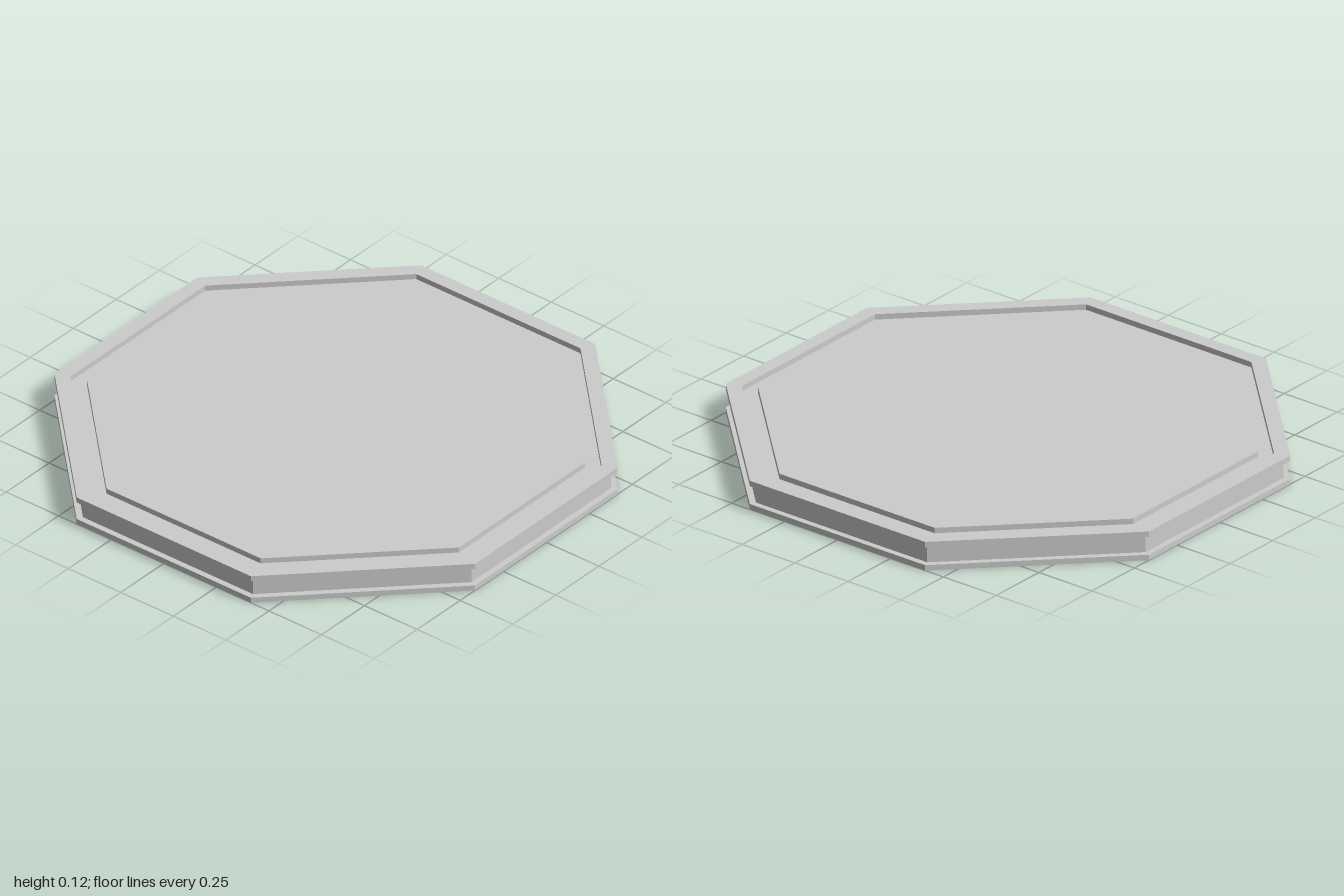
import * as THREE from 'three';

const SIDES = 8;
const CORNER = 1 / Math.cos(Math.PI / SIDES); // flat-to-centre distance -> corner radius
const HEIGHT = 0.117, LIP = 0.022;
const WALL = 0.976, GROOVE_OUT = 0.943, GROOVE_IN = 0.885;

// Octagonal ring surface from a profile of [distance to flat, height]
function octagon(name, profile, material) {
  const points = profile.map(([d, y]) => new THREE.Vector2(d * CORNER, y));
  const geometry = new THREE.LatheGeometry(points, SIDES, Math.PI / SIDES);
  const mesh = new THREE.Mesh(geometry, material);
  mesh.name = name;
  return mesh;
}

export function createModel() {
  const group = new THREE.Group();
  group.name = 'octagonalPlatform';
  const material = new THREE.MeshStandardMaterial({ color: 0xcccccc, flatShading: true });
  const lipY = HEIGHT - LIP;

  group.add(
    // flat underside with a projecting lower flange
    octagon('bottomFlange', [[0, 0], [1, 0], [1, LIP], [WALL, LIP]], material),
    // recessed side wall
    octagon('sideWall', [[WALL, LIP], [WALL, lipY]], material),
    // projecting upper rim, down into the shallow groove
    octagon('topRim', [[WALL, lipY], [1, lipY], [1, HEIGHT], [GROOVE_OUT, HEIGHT], [GROOVE_OUT, lipY]], material),
    octagon('grooveFloor', [[GROOVE_OUT, lipY], [GROOVE_IN, lipY]], material),
    // raised centre panel, level with the rim
    octagon('topPanel', [[GROOVE_IN, lipY], [GROOVE_IN, HEIGHT], [0, HEIGHT]], material),
  );
  return group;
}
